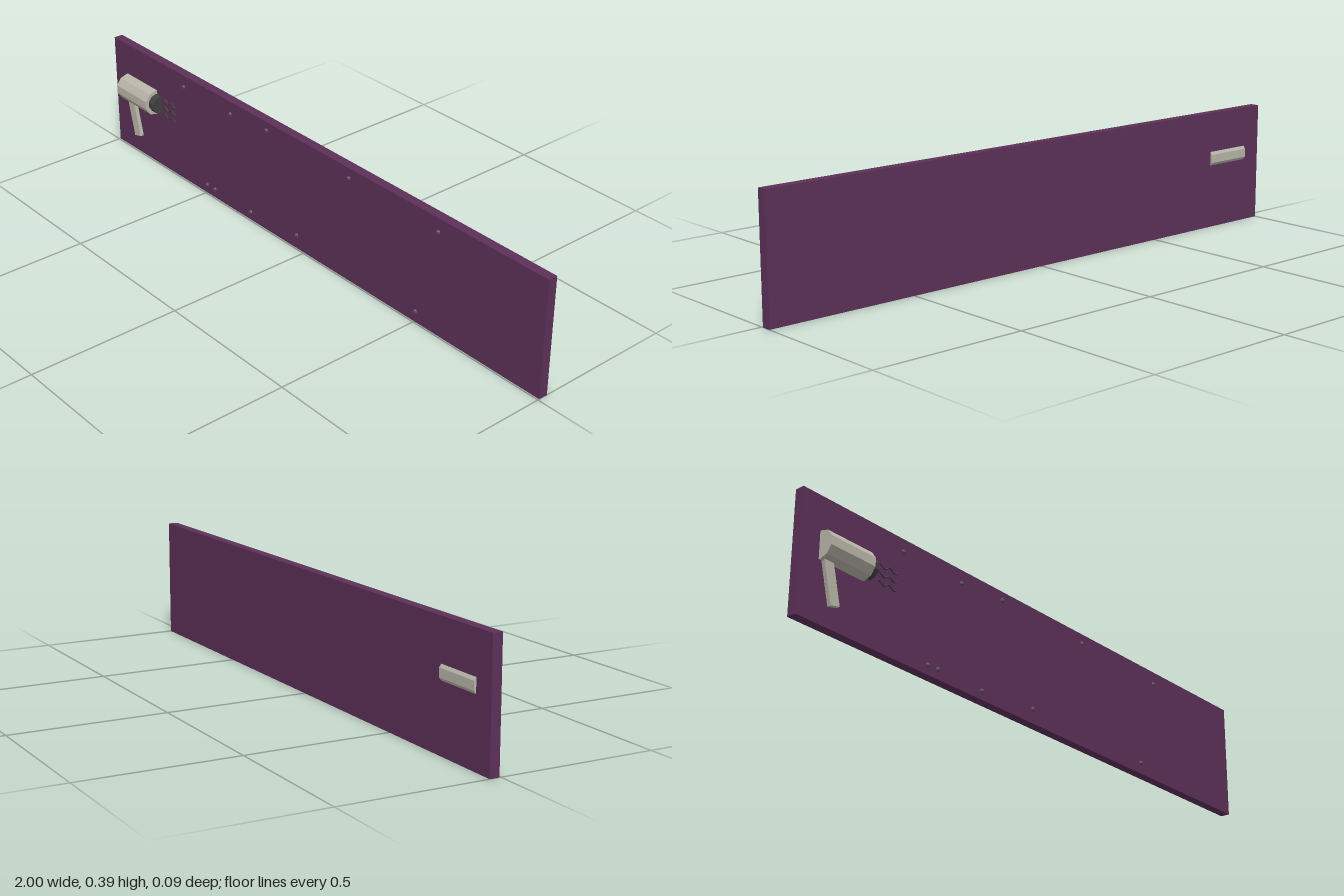
import * as THREE from 'three';

export function createModel() {
  const model = new THREE.Group();
  const mat = (color) => new THREE.MeshStandardMaterial({ color, flatShading: true });
  const purple = mat(0x5c3058), beige = mat(0xb8b4a8), dark = mat(0x404040), mauve = mat(0x5a4a5c);

  const add = (name, geometry, material, x, y, z, parent = model) => {
    const mesh = new THREE.Mesh(geometry, material);
    mesh.name = name;
    mesh.position.set(x, y, z);
    parent.add(mesh);
    return mesh;
  };

  // Backing board
  add('board', new THREE.BoxGeometry(2, 0.39, 0.031), purple, 0, 0.195, -0.0205);

  // Hair dryer, its barrel sunk through the board
  const dryer = new THREE.Group();
  dryer.name = 'dryer';
  dryer.position.set(0, 0.235, 0);
  model.add(dryer);

  // Ten-sided tube along x with a corner pointing straight up
  const tube = (radius, length) =>
    new THREE.CylinderGeometry(radius, radius, length, 10).rotateY(Math.PI / 2).rotateZ(-Math.PI / 2);
  add('barrel', tube(0.045, 0.167), beige, -0.8465, 0, 0, dryer);
  add('nozzle', tube(0.032, 0.027), dark, -0.7515, 0, 0, dryer);

  const handle = add('handle', new THREE.BoxGeometry(0.034, 0.15, 0.016), beige, -0.89, -0.095, 0, dryer);
  handle.rotation.z = 0.24;

  // Wavy streams of air
  for (const y of [0.027, 0, -0.027]) {
    const points = [];
    for (let i = 0; i <= 16; i++) {
      const t = i / 16;
      points.push(new THREE.Vector3(-0.72 + 0.08 * t, y + 0.005 * Math.sin(t * Math.PI * 4), 0.003));
    }
    const path = new THREE.CatmullRomCurve3(points);
    add('airStream', new THREE.TubeGeometry(path, 24, 0.0025, 5), dark, 0, 0, 0, dryer);
  }

  // Small studs along the top and bottom edges
  const studs = [
    [-0.61, 0.348], [-0.364, 0.345], [-0.182, 0.36], [0.203, 0.355], [0.583, 0.345],
    [-0.497, 0.03], [-0.455, 0.031], [-0.267, 0.028], [-0.037, 0.047], [0.503, 0.037],
  ];
  const studGeometry = new THREE.SphereGeometry(0.008, 8, 6);
  for (const [x, y] of studs) add('stud', studGeometry, mauve, x, y, -0.006);

  return model;
}
